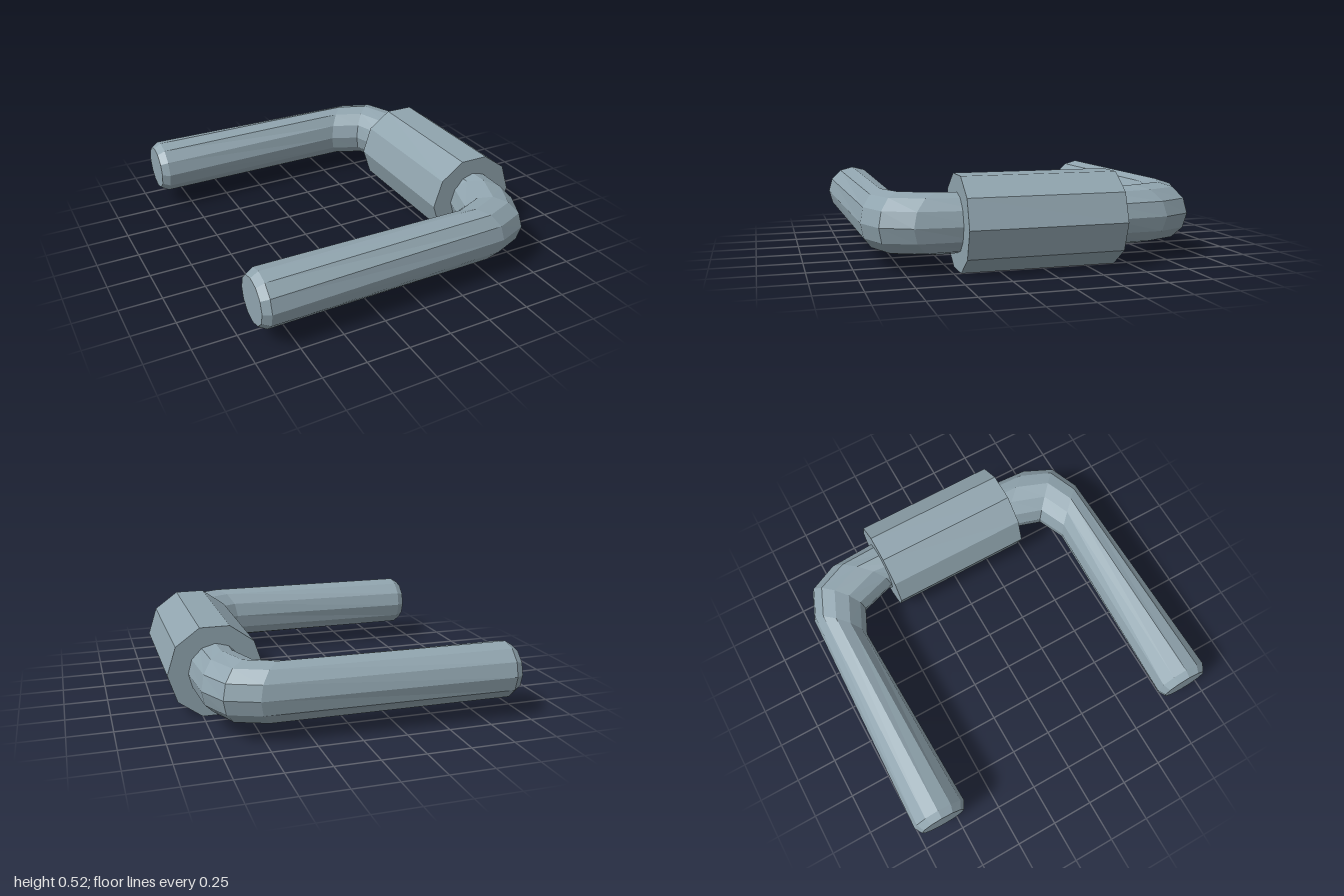
import * as THREE from 'three';

const SIDES = 12;
const AXIS_Y = 0.26;

// Half of the bar: centre x, z; sideways half-width x, z; vertical radius
const HALF = [
  [-0.94, 0.837, 0, 0.137, 0.135],
  [-0.895, 0.837, 0, 0.163, 0.163],
  [0.42, 0.834, 0.12, 0.125, 0.169],
  [0.59, 0.763, 0.13, 0.124, 0.17],
  [0.665, 0.57, 0.137, 0.148, 0.169],
  [0.667, 0.36, 0.16, 0, 0.163],
];

// Skin a U-shaped bar through mitred rings, then close both ends
function barGeometry() {
  const mirrored = HALF.map(([x, z, hx, hz, r]) => [x, -z, hx, -hz, r]).reverse();
  const rings = [...HALF, ...mirrored];
  const pos = [];
  const index = [];
  for (const [x, z, hx, hz, r] of rings) {
    for (let j = 0; j < SIDES; j++) {
      const a = (j / SIDES) * Math.PI * 2;
      pos.push(x + hx * Math.cos(a), AXIS_Y + r * Math.sin(a), z + hz * Math.cos(a));
    }
  }
  for (let i = 0; i < rings.length - 1; i++) {
    for (let j = 0; j < SIDES; j++) {
      const k = (j + 1) % SIDES;
      const a = i * SIDES + j, b = i * SIDES + k;
      index.push(a, a + SIDES, b, b, a + SIDES, b + SIDES);
    }
  }
  const last = (rings.length - 1) * SIDES;
  for (let j = 1; j < SIDES - 1; j++) {
    index.push(0, j, j + 1, last, last + j + 1, last + j);
  }
  const geometry = new THREE.BufferGeometry();
  geometry.setAttribute('position', new THREE.Float32BufferAttribute(pos, 3));
  geometry.setIndex(index);
  const flat = geometry.toNonIndexed();
  flat.computeVertexNormals();
  return flat;
}

export function createModel() {
  const model = new THREE.Group();
  model.name = 'handle';
  const steel = new THREE.MeshStandardMaterial({ color: 0x90a4ae, flatShading: true });
  steel.name = 'blue grey steel';

  // Bent bar with two parallel prongs
  const bar = new THREE.Mesh(barGeometry(), steel);
  bar.name = 'bentBar';
  model.add(bar);

  // Ten-sided grip sleeve around the middle of the bar
  const sleeve = new THREE.CylinderGeometry(0.273, 0.273, 0.88, 10);
  sleeve.rotateY(Math.PI / 2).rotateX(Math.PI / 2).translate(0.667, AXIS_Y, 0.02);
  const grip = new THREE.Mesh(sleeve, steel);
  grip.name = 'gripSleeve';
  model.add(grip);

  return model;
}
